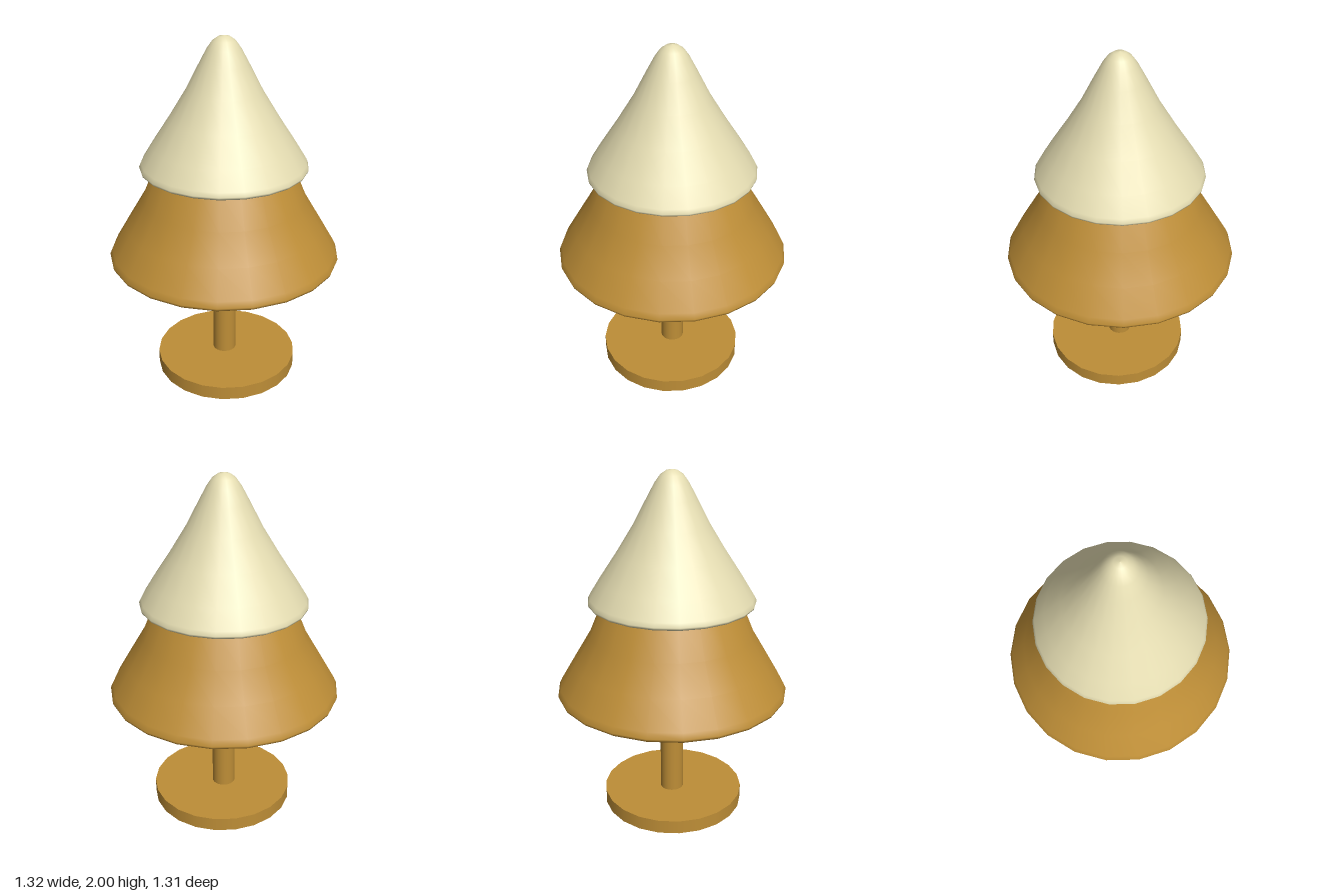
import * as THREE from 'three';

const SIDES = 22;
const TURN = THREE.MathUtils.degToRad(7.2);

export function createModel() {
  const group = new THREE.Group();
  const wood = new THREE.MeshStandardMaterial({ color: 0xbe8e37, side: THREE.DoubleSide });
  wood.name = 'honey wood';
  const cream = new THREE.MeshStandardMaterial({ color: 0xe5ddb2, side: THREE.DoubleSide });
  cream.name = 'cream';

  const add = (name, geometry, material, x = 0, y = 0, z = 0) => {
    const mesh = new THREE.Mesh(geometry, material);
    mesh.name = name;
    mesh.position.set(x, y, z);
    group.add(mesh);
  };
  // profiles run from the bottom outward and up, as [radius, height]
  const lathe = (points) =>
    new THREE.LatheGeometry(points.map(([r, y]) => new THREE.Vector2(r, y)), SIDES, TURN);

  // base: a thin disc, hollow underneath
  add('baseRim', new THREE.CylinderGeometry(0.414, 0.414, 0.08, SIDES, 1, true, TURN), wood, 0.016, 0.04, 0.013);
  add('baseTop', new THREE.CircleGeometry(0.414, SIDES, TURN + Math.PI / 2).rotateX(-Math.PI / 2), wood, 0.016, 0.08, 0.013);

  // trunk: an open pipe passing through the base
  add('trunk', new THREE.CylinderGeometry(0.068, 0.068, 0.81, SIDES, 1, true), wood, 0.003, 0.445, 0.001);

  // lower tier with a dished underside
  add('lowerTier', lathe([
    [0.63, 0.73], [0.643, 0.73], [0.656, 0.739], [0.66, 0.753], [0.645, 0.785],
    [0.56, 0.93], [0.465, 1.09], [0.388, 1.275], [0.2, 1.6], [0.06, 1.69], [0, 1.7],
  ]), wood);
  add('lowerUnderside', lathe([
    [0, 0.86], [0.15, 0.85], [0.32, 0.835], [0.48, 0.805], [0.59, 0.768], [0.63, 0.73],
  ]), wood);

  // upper tier with a rounded tip and a recessed underside
  add('upperTier', lathe([
    [0.445, 1.267], [0.458, 1.267], [0.468, 1.274], [0.471, 1.285], [0.46, 1.308], [0.4, 1.405],
    [0.305, 1.55], [0.21, 1.705], [0.135, 1.85], [0.092, 1.93],
    [0.062, 1.972], [0.032, 1.993], [0, 2],
  ]), cream);
  add('upperUnderside', lathe([[0.2, 1.345], [0.34, 1.325], [0.42, 1.295], [0.445, 1.267]]), cream);

  return group;
}
